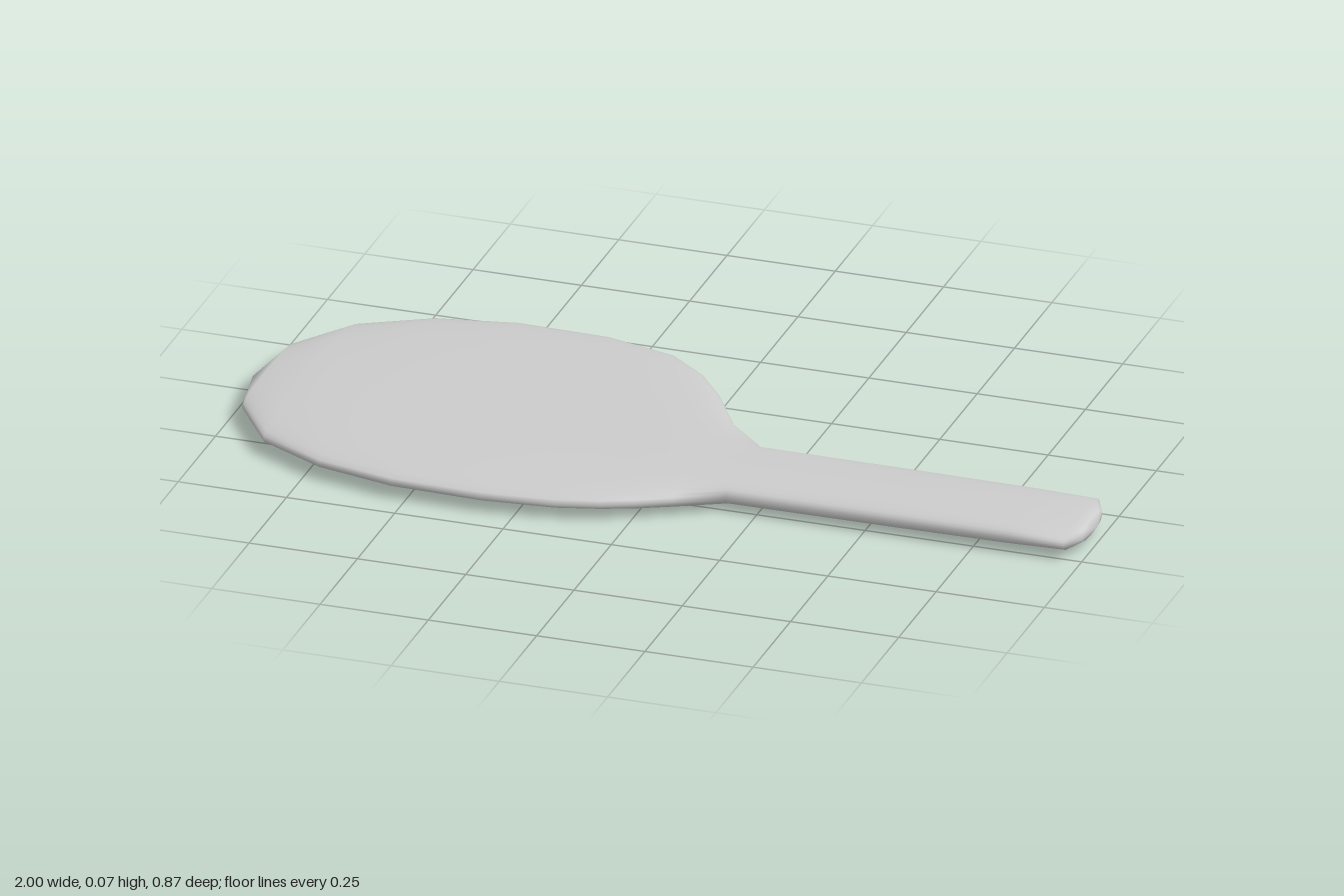
import * as THREE from 'three';
import { mergeVertices } from 'three/addons/utils/BufferGeometryUtils.js';

// Cross-sections along x: [x, back z, front z, half thickness]
const SECTIONS = [
  [-1, 0, 0, 0],
  [-0.97, -0.18, 0.16, 0.016],
  [-0.87, -0.32, 0.305, 0.026],
  [-0.715, -0.403, 0.387, 0.031],
  [-0.535, -0.438, 0.428, 0.034],
  [-0.325, -0.432, 0.434, 0.035],
  [-0.16, -0.387, 0.417, 0.035],
  [-0.065, -0.31, 0.39, 0.035],
  [0.005, -0.218, 0.36, 0.035],
  [0.08, -0.09, 0.32, 0.034],
  [0.18, 0.012, 0.26, 0.034],
  [0.57, 0.014, 0.259, 0.033],
  [0.83, 0.015, 0.258, 0.031],
  [0.96, 0.016, 0.257, 0.026],
  [0.985, 0.07, 0.205, 0.018],
  [0.997, 0.137, 0.137, 0],
];
const SIDES = 32;
const MID_Y = 0.039;

// Skin the sections with flattened superellipse rings
function paddleGeometry() {
  const positions = [];
  const index = [];
  const soften = (v) => Math.sign(v) * Math.abs(v) ** (2 / 2.5);
  SECTIONS.forEach(([x, z0, z1, h], s) => {
    for (let i = 0; i < SIDES; i++) {
      const a = (i / SIDES) * Math.PI * 2;
      positions.push(
        x,
        MID_Y + h * soften(Math.sin(a)),
        (z0 + z1) / 2 + ((z1 - z0) / 2) * soften(Math.cos(a)),
      );
      if (s === SECTIONS.length - 1) continue;
      const p = s * SIDES + i;
      const q = s * SIDES + ((i + 1) % SIDES);
      if (s < SECTIONS.length - 2) index.push(q, p + SIDES, q + SIDES);
      else index.push(p, p + SIDES, q);
      if (s > 0 && s < SECTIONS.length - 2) index.push(p, p + SIDES, q);
    }
  });
  const geometry = new THREE.BufferGeometry();
  geometry.setAttribute('position', new THREE.Float32BufferAttribute(positions, 3));
  geometry.setIndex(index);
  const merged = mergeVertices(geometry, 1e-5);
  merged.computeVertexNormals();
  return merged;
}

export function createModel() {
  const group = new THREE.Group();
  group.name = 'paddle';
  const material = new THREE.MeshStandardMaterial({ color: 0xcccccc });
  // Blade and handle are one continuous body
  const body = new THREE.Mesh(paddleGeometry(), material);
  body.name = 'bladeAndHandle';
  group.add(body);
  return group;
}
